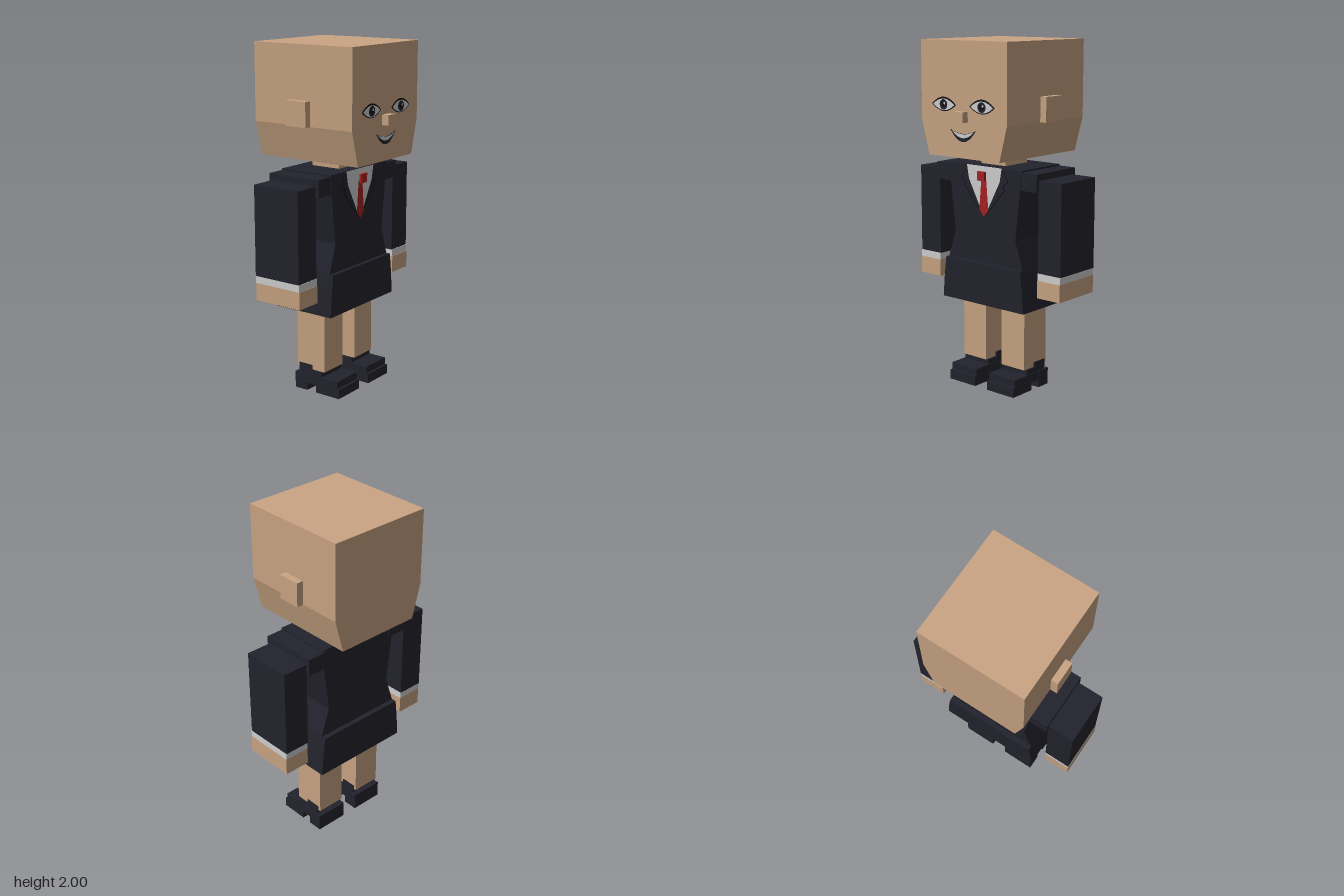
import * as THREE from 'three';

const paint = (name, color) => {
  const m = new THREE.MeshStandardMaterial({ color });
  m.name = name;
  return m;
};

export function createModel() {
  const skin = paint('skin', 0xcaa583);
  const navy = paint('navy cloth', 0x23232e);
  const black = paint('black line', 0x101014);
  const white = paint('white', 0xd2d2d2);
  const red = paint('red tie', 0xa82222);

  const model = new THREE.Group();
  model.name = 'suitedFigure';

  const add = (name, geometry, material) => {
    const mesh = new THREE.Mesh(geometry, material);
    mesh.name = name;
    model.add(mesh);
    return mesh;
  };
  // Box given by its extents on each axis
  const box = (name, mat, [x0, x1], [y0, y1], [z0, z1]) => {
    const mesh = add(name, new THREE.BoxGeometry(Math.abs(x1 - x0), y1 - y0, z1 - z0), mat);
    mesh.position.set((x0 + x1) / 2, (y0 + y1) / 2, (z0 + z1) / 2);
  };
  const toShape = (pts) => new THREE.Shape(pts.map(([x, y]) => new THREE.Vector2(x, y)));
  // Symmetric solid: half outline from top to bottom, extruded along z
  const slab = (name, mat, half, z0, z1) => {
    const outline = [...half, ...half.map(([x, y]) => [-x, y]).reverse()];
    const g = new THREE.ExtrudeGeometry(toShape(outline), { depth: z1 - z0, bevelEnabled: false });
    add(name, g.translate(0, 0, z0), mat);
  };
  // Flat painted detail facing forward
  const plate = (name, mat, pts, z) =>
    add(name, new THREE.ShapeGeometry(toShape(pts)).translate(0, 0, z), mat);
  // Band between an upper and a lower arc, both given as [mid y, end y]
  const arcBand = (cx, w, endY, upY, lowY, n = 14) => {
    const arc = (midY) => Array.from({ length: n + 1 }, (_, i) => {
      const t = (i / n) * 2 - 1;
      return [cx + t * w, endY + (midY - endY) * (1 - t * t)];
    });
    return [...arc(upY), ...arc(lowY).reverse().slice(1, -1)];
  };
  const disc = (name, mat, r, x, y, z) =>
    add(name, new THREE.CircleGeometry(r, 20).translate(x, y, z), mat);

  // Head and neck
  slab('head', skin, [[0.313, 2], [0.313, 1.56], [0.26, 1.362]], -0.355, 0.31);
  box('nose', skin, [-0.035, 0.035], [1.562, 1.62], [0.3, 0.352]);
  box('neck', skin, [-0.09, 0.09], [1.28, 1.37], [-0.13, 0.06]);

  // Mouth
  plate('lips', navy, arcBand(0, 0.095, 1.52, 1.498, 1.453), 0.312);
  plate('teeth', white, arcBand(0, 0.082, 1.513, 1.496, 1.474), 0.314);

  // Jacket body and skirt
  slab('jacket', navy, [[0.268, 1.3], [0.26, 1.19], [0.225, 0.905], [0.28, 0.74]], -0.205, 0.135);
  slab('skirt', navy, [[0.28, 0.742], [0.293, 0.64], [0.305, 0.5]], -0.235, 0.16);

  // Shirt front and tie
  plate('shirt', white, [[-0.13, 1.3], [0.13, 1.3], [0.115, 1.22], [0.03, 1.06], [0, 1.015],
    [-0.03, 1.06], [-0.115, 1.22]], 0.14);
  plate('tie', red, [[-0.018, 1.23], [0.018, 1.23], [0.034, 1.05], [0, 1.012], [-0.034, 1.05]], 0.143);
  box('tieKnot', red, [-0.027, 0.027], [1.22, 1.272], [0.155, 0.17]);

  for (const s of [1, -1]) {
    const side = s > 0 ? 'left' : 'right';
    const part = (name, mat, [x0, x1], y, z) => box(side + name, mat, [s * x0, s * x1], y, z);
    const mirror = (pts) => pts.map(([x, y]) => [s * x, y]);

    part('Ear', skin, [0.3, 0.354], [1.56, 1.7], [-0.105, 0.031]);

    // Eye: dark rim, white almond, iris and glint
    const ex = s * 0.14;
    plate(side + 'EyeRim', black, arcBand(ex, 0.09, 1.65, 1.692, 1.613), 0.312);
    plate(side + 'EyeWhite', white, arcBand(ex, 0.08, 1.65, 1.682, 1.618), 0.314);
    disc(side + 'Iris', navy, 0.029, ex, 1.65, 0.316);
    disc(side + 'Pupil', black, 0.016, ex, 1.65, 0.317);
    disc(side + 'Glint', white, 0.007, ex + 0.008, 1.657, 0.318);

    // Lapel with a fine dark edge
    plate(side + 'LapelEdge', black, mirror([[0.13, 1.3], [0.178, 1.225], [0.142, 1.2],
      [0.15, 1.175], [0, 1.005], [0.03, 1.06], [0.115, 1.22]]), 0.137);
    plate(side + 'Lapel', navy, mirror([[0.13, 1.3], [0.171, 1.227], [0.135, 1.202],
      [0.143, 1.177], [0.004, 1.015], [0.03, 1.06], [0.115, 1.22]]), 0.138);

    // Shoulder and arm
    part('Shoulder', navy, [0.23, 0.372], [1.19, 1.29], [-0.21, 0.131]);
    part('Sleeve', navy, [0.37, 0.526], [0.738, 1.253], [-0.19, 0.112]);
    part('Cuff', white, [0.37, 0.526], [0.698, 0.738], [-0.188, 0.115]);
    part('Hand', skin, [0.37, 0.526], [0.598, 0.698], [-0.187, 0.118]);

    // Leg and stepped heeled shoe
    part('Leg', skin, [0.06, 0.232], [0.13, 0.52], [-0.134, 0.061]);
    part('ShoeSole', navy, [0.047, 0.245], [0, 0.056], [0.007, 0.172]);
    part('ShoeToe', navy, [0.049, 0.243], [0.044, 0.098], [-0.06, 0.157]);
    part('ShoeInstep', navy, [0.053, 0.239], [0.094, 0.128], [-0.105, 0.045]);
    part('ShoeAnkle', navy, [0.055, 0.237], [0.11, 0.157], [-0.119, -0.026]);
    part('ShoeHeel', navy, [0.047, 0.245], [0, 0.098], [-0.142, -0.055]);
  }
  return model;
}
